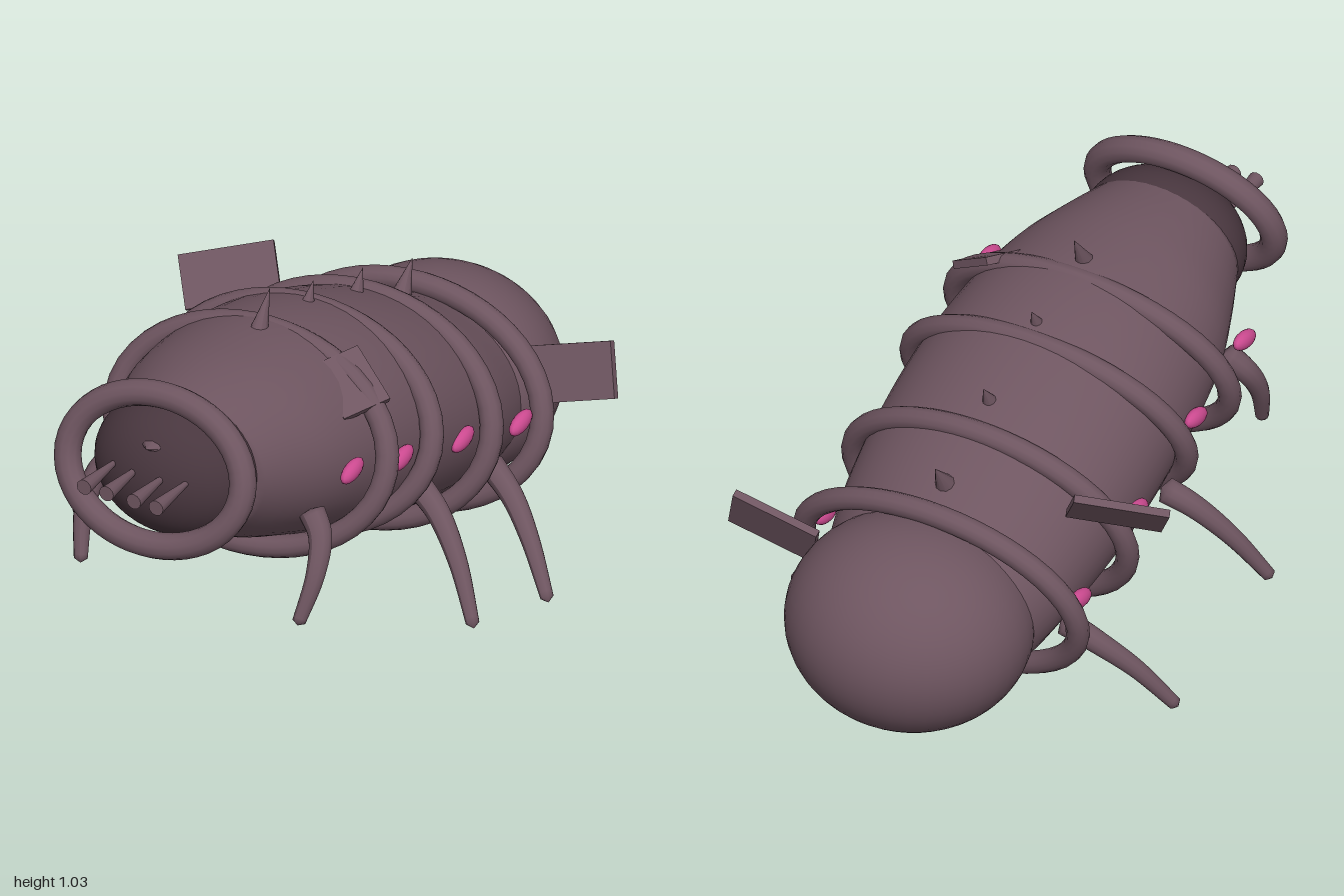
import * as THREE from 'three';
import { mergeVertices } from 'three/addons/utils/BufferGeometryUtils.js';

const V = (x, y, z) => new THREE.Vector3(x, y, z);

export function createModel() {
  const model = new THREE.Group();
  const paint = (name, color) => {
    const m = new THREE.MeshStandardMaterial({ color });
    m.name = name;
    return m;
  };
  const hide = paint('mauve hide', 0x6e5560);
  const dark = paint('dark face', 0x48363e);
  const pink = paint('pink spots', 0xcc4a90);

  const add = (name, geometry, material) => {
    const mesh = new THREE.Mesh(geometry, material);
    mesh.name = name;
    model.add(mesh);
    return mesh;
  };
  const ellipsoid = (name, material, center, radii, ws = 40, hs = 28) => {
    const mesh = add(name, new THREE.SphereGeometry(1, ws, hs), material);
    mesh.position.copy(center);
    mesh.scale.copy(radii);
    return mesh;
  };
  // Cone or cylinder running from a to b
  const spar = (name, a, b, ra, rb, sides) => {
    const mesh = add(name, new THREE.CylinderGeometry(rb, ra, a.distanceTo(b), sides), hide);
    mesh.position.copy(a).lerp(b, 0.5);
    mesh.quaternion.setFromUnitVectors(V(0, 1, 0), b.clone().sub(a).normalize());
    return mesh;
  };

  // Body: z, bottom, top, half width of each section
  const sections = [
    [-0.70, 0.12, 0.57, 0.27], [-0.55, 0.108, 0.645, 0.325], [-0.4, 0.138, 0.728, 0.36],
    [-0.2, 0.18, 0.822, 0.383], [0, 0.235, 0.895, 0.388], [0.2, 0.305, 0.938, 0.376],
    [0.4, 0.385, 0.95, 0.345], [0.55, 0.45, 0.945, 0.292], [0.69, 0.535, 0.928, 0.232],
  ];
  const spine = new THREE.CatmullRomCurve3(
    sections.map(([z, lo, hi]) => V(0, (lo + hi) / 2, z)), false, 'catmullrom');
  const girth = new THREE.CatmullRomCurve3(
    sections.map(([, lo, hi, w]) => V(w, (hi - lo) / 2, 0)), false, 'catmullrom');
  let bodyGeo = new THREE.CylinderGeometry(1, 1, 1, 48, 32).rotateX(Math.PI / 2);
  const p = bodyGeo.attributes.position;
  for (let i = 0; i < p.count; i++) {
    const t = THREE.MathUtils.clamp(p.getZ(i) + 0.5, 0, 1);
    const c = spine.getPoint(t), r = girth.getPoint(t);
    p.setXYZ(i, p.getX(i) * r.x, c.y + p.getY(i) * r.y, c.z);
  }
  bodyGeo.deleteAttribute('uv');
  bodyGeo.deleteAttribute('normal');
  bodyGeo = mergeVertices(bodyGeo);
  bodyGeo.computeVertexNormals();
  add('body', bodyGeo, hide);

  // Rounded tail and dark face
  ellipsoid('tail', hide, V(0, 0.347, -0.68), V(0.34, 0.288, 0.32));
  ellipsoid('face', dark, V(0, 0.738, 0.695), V(0.237, 0.2, 0.175));

  // Leaning oval hoops: centre y, z, half width, half height, lean, tube
  const hoops = [
    [0.637, 0.31, 0.417, 0.293, 0.354, 0.032], [0.587, 0.075, 0.417, 0.293, 0.38, 0.032],
    [0.46, -0.243, 0.417, 0.305, 0.305, 0.032], [0.371, -0.51, 0.417, 0.293, 0.3, 0.032],
    [0.775, 0.815, 0.268, 0.203, 0.32, 0.037],
  ];
  hoops.forEach(([y, z, rx, ry, lean, tube], k) => {
    const pts = [];
    for (let i = 0; i < 24; i++) {
      const a = (i / 24) * Math.PI * 2;
      pts.push(V(Math.cos(a) * rx, Math.sin(a) * ry, 0));
    }
    const path = new THREE.CatmullRomCurve3(pts, true);
    const hoop = add(k < 4 ? 'bodyHoop' : 'collar', new THREE.TubeGeometry(path, 48, tube, 12, true), hide);
    hoop.position.set(0, y, z);
    hoop.rotation.x = -lean;
  });

  // Back spikes
  for (const [y0, z0, y1, z1] of [
    [0.9, 0.285, 1.035, 0.21], [0.84, 0.035, 0.945, -0.02],
    [0.755, -0.225, 0.855, -0.28], [0.655, -0.475, 0.757, -0.542],
  ]) spar('backSpike', V(0, y0, z0), V(0, y1, z1), 0.034, 0, 10);

  // Flared eye stalks and small flat brow horn
  for (const x of [-0.112, -0.043, 0.041, 0.11])
    spar('eyeStalk', V(x, 0.775, 0.82), V(x, 0.778, 1), 0.006, 0.022, 12);
  spar('browHorn', V(0, 0.852, 0.825), V(0, 0.86, 0.865), 0.038, 0, 8).scale.z = 0.45;

  // Curved tapering legs, rounded shut at both ends
  const legs = [
    [V(0.295, 0.585, 0.5), V(0.342, 0.53, 0.53), V(0.357, 0.44, 0.58), V(0.335, 0.305, 0.637)],
    [V(0.36, 0.455, 0.045), V(0.44, 0.405, 0.075), V(0.53, 0.305, 0.125), V(0.618, 0.157, 0.19)],
    [V(0.31, 0.29, -0.41), V(0.405, 0.225, -0.375), V(0.49, 0.14, -0.325), V(0.585, 0.006, -0.26)],
  ];
  const mirror = (v, s) => V(v.x * s, v.y, v.z);
  for (const side of [1, -1]) {
    for (const pts of legs) {
      const path = new THREE.CatmullRomCurve3(pts.map((v) => mirror(v, side)));
      const segs = 28, around = 12;
      const geo = new THREE.TubeGeometry(path, segs, 1, around);
      const q = geo.attributes.position;
      for (let i = 0; i < q.count; i++) {
        const k = Math.floor(i / (around + 1));
        const r = k === 0 || k === segs ? 0 : 0.038 - 0.02 * (k / segs);
        const c = path.getPointAt(k / segs);
        const v = V(0, 0, 0).fromBufferAttribute(q, i).sub(c).multiplyScalar(r).add(c);
        q.setXYZ(i, v.x, v.y, v.z);
      }
      geo.computeVertexNormals();
      add(side > 0 ? 'leftLeg' : 'rightLeg', geo, hide);
    }
    // Pink side spots
    for (const [y, z] of [[0.7, 0.443], [0.61, 0.18], [0.51, -0.14], [0.41, -0.447]]) {
      const spot = ellipsoid('sideSpot', pink, V(0.39 * side, y, z), V(0.021, 0.026, 0.052), 14, 10);
      spot.rotation.x = 0.2;
    }
  }

  // Flat fins: centre, length direction, height direction, length, height
  const fins = [
    [V(0.435, 0.48, -0.645), V(0.96, 0.28, -0.12), V(-0.26, 0.88, -0.38), 0.25, 0.155],
    [V(-0.458, 0.66, -0.362), V(-0.86, -0.19, 0.48), V(-0.43, 0.77, -0.47), 0.26, 0.15],
    [V(0.278, 0.845, 0.262), V(0.775, -0.55, 0.33), V(-0.5, -0.1, 0.8), 0.175, 0.145],
  ];
  for (const [center, along, up, length, height] of fins) {
    const x = along.normalize();
    const z = x.clone().cross(up).normalize();
    const y = z.clone().cross(x);
    const fin = add('fin', new THREE.BoxGeometry(length, height, 0.022), hide);
    fin.quaternion.setFromRotationMatrix(new THREE.Matrix4().makeBasis(x, y, z));
    fin.position.copy(center);
  }
  return model;
}
